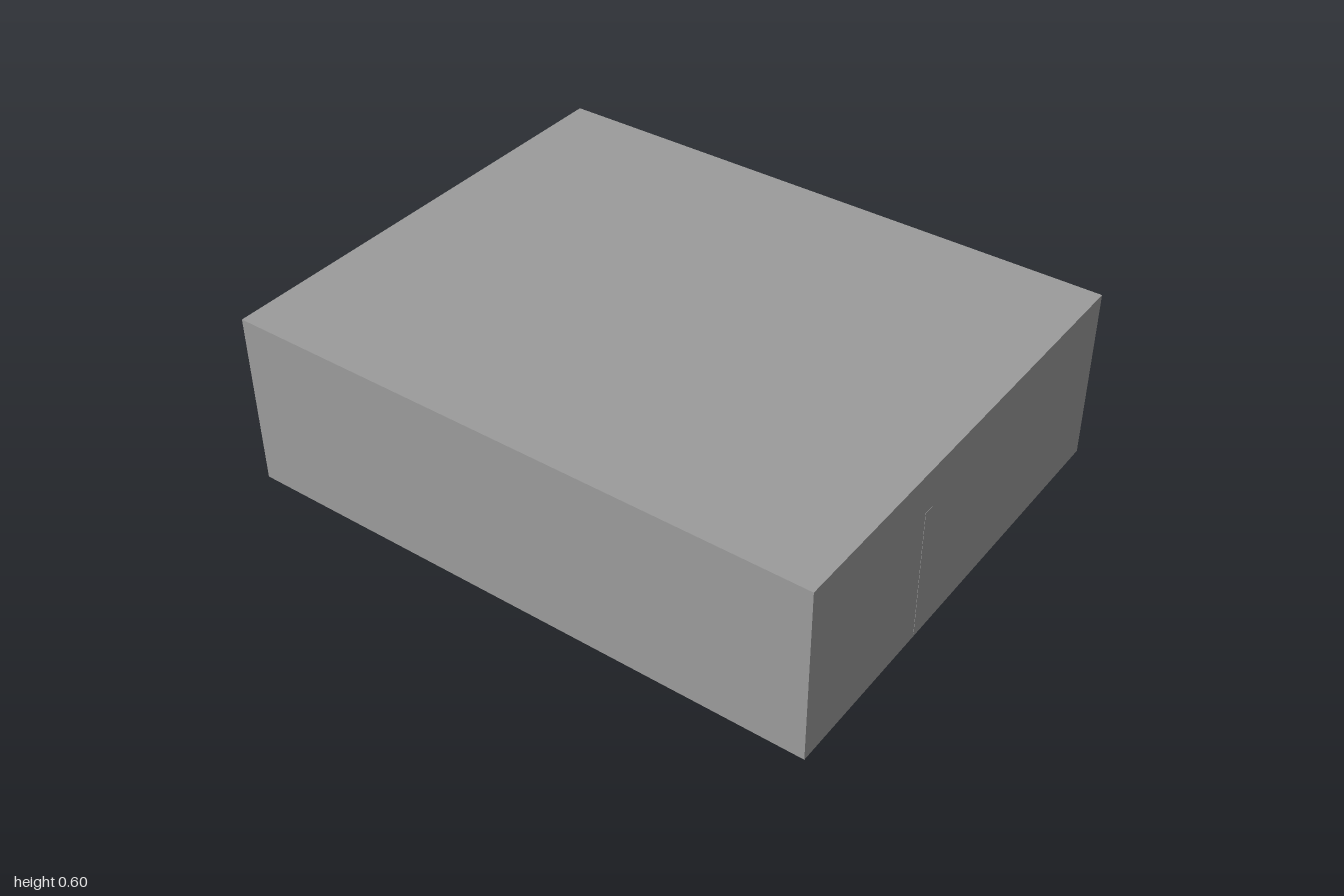
import * as THREE from 'three';

const W = 2, H = 0.6, BACK = -0.767, FRONT = 0.837, T = 0.008;
const DOOR_W = 0.375, DOOR_H = 0.43, JAMB = 0.055, LINTEL = 0.016;
const doors = [
  { x: -0.36, rear: -0.837 },
  { x: 0.44, rear: -0.827 },
];

export function createModel() {
  const group = new THREE.Group();
  const material = new THREE.MeshStandardMaterial({ color: 0x9b9b9b });

  // Box given by its minimum and maximum corners
  function block(name, x0, x1, y0, y1, z0, z1, parent = group) {
    const mesh = new THREE.Mesh(new THREE.BoxGeometry(x1 - x0, y1 - y0, z1 - z0), material);
    mesh.position.set((x0 + x1) / 2, (y0 + y1) / 2, (z0 + z1) / 2);
    mesh.name = name;
    parent.add(mesh);
  }

  // Thin outer shell
  block('floor', -1, 1, 0, T, BACK, FRONT);
  block('roof', -1, 1, H - T, H, BACK, FRONT);
  block('frontWall', -1, 1, T, H - T, FRONT - T, FRONT);
  block('rightWall', -1, -1 + T, T, H - T, BACK + T, FRONT - T);
  block('leftWall', 1 - T, 1, T, H - T, BACK + T, FRONT - T);

  // Back wall with two door openings
  const wall = new THREE.Shape();
  wall.moveTo(-W / 2, T);
  for (const { x } of doors) {
    const half = DOOR_W / 2 - JAMB;
    wall.lineTo(x - half, T);
    wall.lineTo(x - half, DOOR_H - LINTEL);
    wall.lineTo(x + half, DOOR_H - LINTEL);
    wall.lineTo(x + half, T);
  }
  wall.lineTo(W / 2, T);
  wall.lineTo(W / 2, H - T);
  wall.lineTo(-W / 2, H - T);
  wall.closePath();
  const backWall = new THREE.Mesh(
    new THREE.ExtrudeGeometry(wall, { depth: T, bevelEnabled: false }), material);
  backWall.position.z = BACK;
  backWall.name = 'backWall';
  group.add(backWall);

  // Interior partitions: one across the width, one between the two entrances
  block('crossPartition', -1 + T, 1 - T, T, H - T, 0.23, 0.27);
  block('middlePartition', -0.01, 0.04, T, H - T, -0.3, 0.23);

  // Ends of the cross partition showing as slim strips on the side walls
  for (const side of [-1, 1]) {
    block('partitionEnd', side - 0.001, side + 0.001, 0.01, 0.46, 0.23, 0.27);
  }

  // Projecting door frames
  for (const { x, rear } of doors) {
    const frame = new THREE.Group();
    frame.name = 'doorFrame';
    const a = x - DOOR_W / 2, b = x + DOOR_W / 2;
    block('jamb', a, a + JAMB, 0.008, DOOR_H, rear, BACK, frame);
    block('jamb', b - JAMB, b, 0.008, DOOR_H, rear, BACK, frame);
    block('lintel', a + JAMB, b - JAMB, DOOR_H - LINTEL, DOOR_H, rear, BACK, frame);
    block('sill', a + JAMB, b - JAMB, 0.004, 0.01, rear, BACK, frame);
    group.add(frame);
  }
  return group;
}
